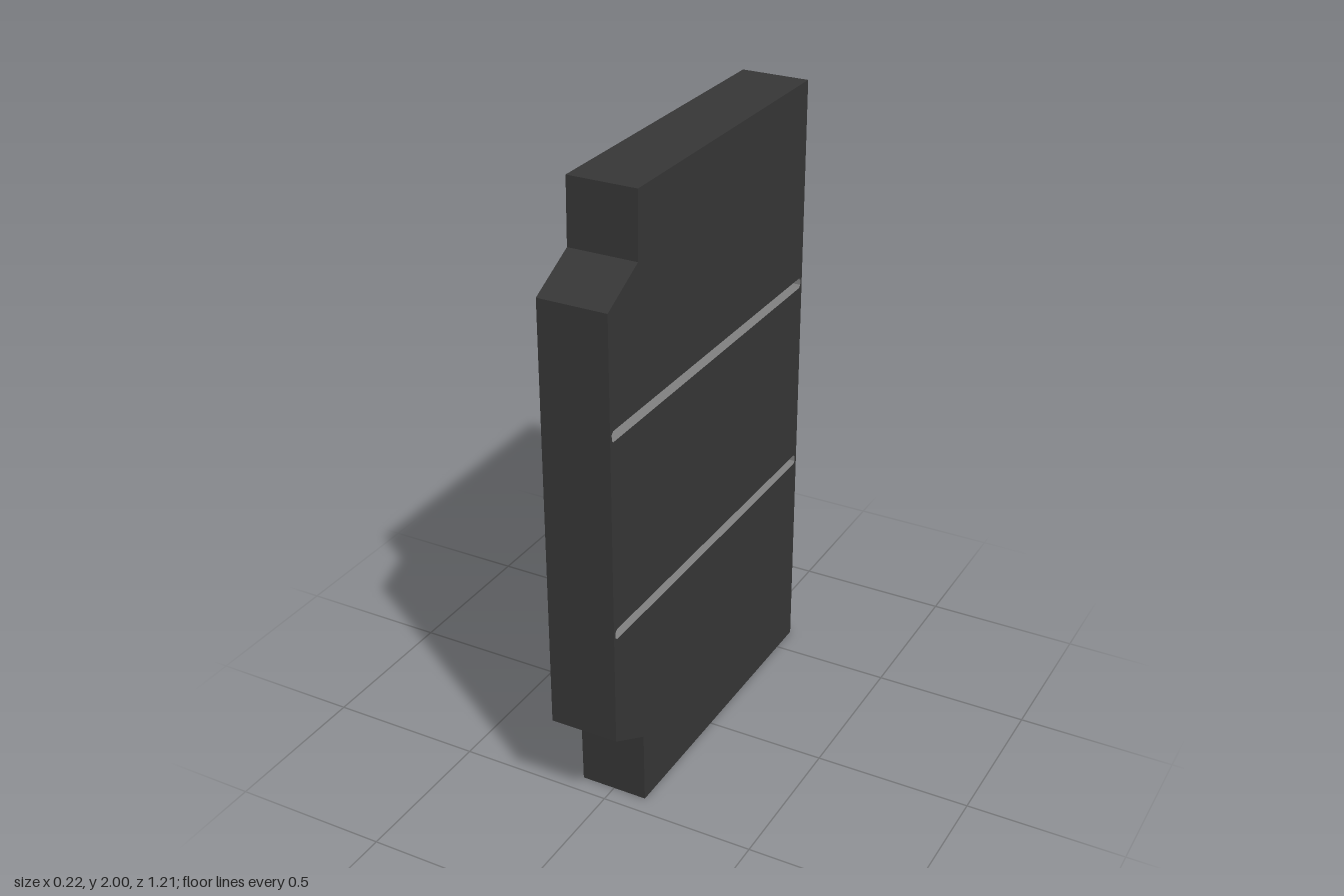
import * as THREE from 'three';

const WIDTH = 0.22;         // thickness of the panel along x
const GROOVE_DEPTH = 0.05;
const GROOVE_HEIGHTS = [0.70, 1.34];

const material = (name, color) => {
  const m = new THREE.MeshStandardMaterial({ color });
  m.name = name;
  return m;
};
const toPoints = (list) => list.map(([z, y]) => new THREE.Vector2(z, y));

// side profile as (z, y): stepped front edge, straight back
const PROFILE = toPoints([
  [-0.605, 0], [0.44, 0], [0.444, 0.24], [0.607, 0.33],
  [0.607, 1.71], [0.444, 1.795], [0.44, 2], [-0.605, 2],
]);

// long slot outline with small clipped corners
function slotPoints(y) {
  const z0 = -0.595, z1 = 0.598, h = 0.017, c = 0.008;
  return toPoints([
    [z0 + c, y - h], [z1 - c, y - h], [z1, y - h + c], [z1, y + h - c],
    [z1 - c, y + h], [z0 + c, y + h], [z0, y + h - c], [z0, y - h + c],
  ]);
}

// extrude a (z, y) shape along x, centred on x = 0
function extrudeAcross(shape, depth) {
  const g = new THREE.ExtrudeGeometry(shape, { depth, bevelEnabled: false });
  g.translate(0, 0, -depth / 2);
  g.rotateY(-Math.PI / 2);
  return g;
}

export function createModel() {
  const group = new THREE.Group();
  group.name = 'groovedPanel';
  const charcoal = material('charcoal', 0x363636);
  const grey = material('grooveGrey', 0x808080);
  const red = material('grooveRed', 0xbf2020);

  // body with two slots; slot walls are grey, everything else charcoal
  const outline = new THREE.Shape(PROFILE);
  for (const y of GROOVE_HEIGHTS) outline.holes.push(new THREE.Path(slotPoints(y)));
  const bodyGeometry = extrudeAcross(outline, WIDTH);
  const caps = bodyGeometry.groups[0].count;
  const outerEnd = caps + PROFILE.length * 6;
  const total = bodyGeometry.attributes.position.count;
  bodyGeometry.clearGroups();
  bodyGeometry.addGroup(0, outerEnd, 0);
  bodyGeometry.addGroup(outerEnd, total - outerEnd, 1);
  const body = new THREE.Mesh(bodyGeometry, [charcoal, grey]);
  body.name = 'body';
  group.add(body);

  // red strips filling the slots, recessed from both sides
  GROOVE_HEIGHTS.forEach((y, i) => {
    const strip = new THREE.Mesh(
      extrudeAcross(new THREE.Shape(slotPoints(y)), WIDTH - 2 * GROOVE_DEPTH), red);
    strip.name = i ? 'upperGrooveStrip' : 'lowerGrooveStrip';
    group.add(strip);
  });
  return group;
}
